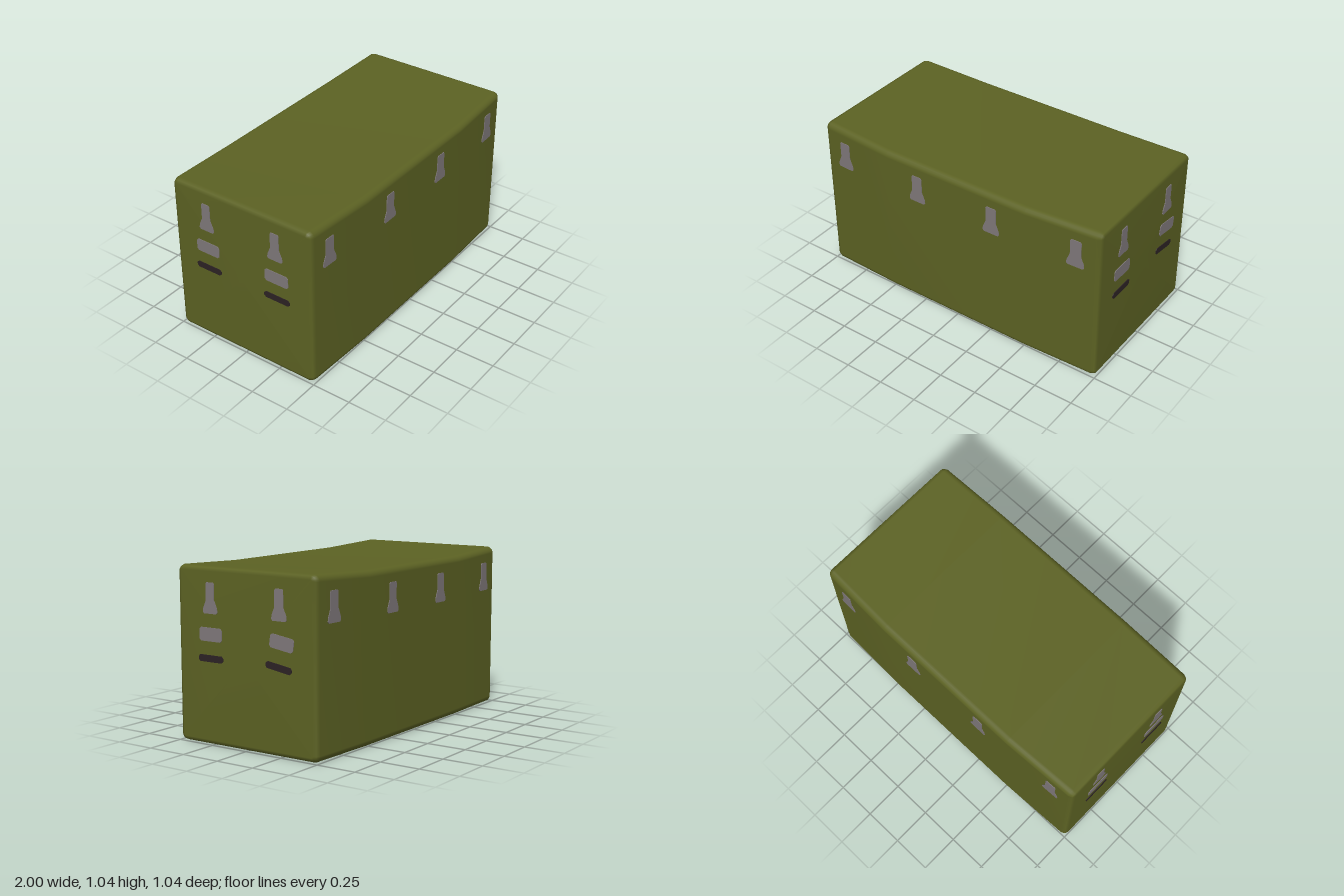
import * as THREE from 'three';

const olive = new THREE.MeshStandardMaterial({ color: 0x5c6223 });
olive.name = 'olive';
const grey = new THREE.MeshStandardMaterial({ color: 0x7f787a });
grey.name = 'grey metal';
const dark = new THREE.MeshStandardMaterial({ color: 0x2c2224 });
dark.name = 'dark slot';

// The middle half of the cover is straight; it tapers and rises towards the ends
const endness = x => Math.max(0, (Math.abs(x) - 0.5) / 0.5);
const halfDepth = x => 0.515 - 0.018 * endness(x);
const height = x => 1.022 + 0.021 * endness(x);

// Rounded-rectangle cross-sections joined along x, with rounded ends and flat caps
function bodyGeometry() {
  const half = [[0.997, 0.03], [0.988, 0.01], [0.965, 0], [0.5, 0]];
  const stations = [
    ...half.map(([x, inset]) => [-x, inset]),
    ...half.slice().reverse(),
  ];
  const steps = 5, n = 4 * (steps + 1);
  const pos = [], index = [];
  for (const [x, inset] of stations) {
    const r = 0.04 - inset;
    const w = halfDepth(x) - inset - r;
    const top = height(x) - inset - r, bottom = inset + r;
    const corners = [[w, top], [-w, top], [-w, bottom], [w, bottom]];
    corners.forEach(([z, y], c) => {
      for (let s = 0; s <= steps; s++) {
        const a = (c + s / steps) * Math.PI / 2;
        pos.push(x, y + r * Math.sin(a), z + r * Math.cos(a));
      }
    });
  }
  const last = (stations.length - 1) * n;
  const c0 = pos.length / 3, c1 = c0 + 1;
  pos.push(-0.997, 0.52, 0, 0.997, 0.52, 0);
  for (let j = 0; j < n; j++) {
    const k = (j + 1) % n;
    for (let i = 0; i < last; i += n) {
      index.push(i + j, i + n + j, i + k, i + k, i + n + j, i + n + k);
    }
    index.push(c0, j, k, c1, last + k, last + j);
  }
  const g = new THREE.BufferGeometry();
  g.setAttribute('position', new THREE.Float32BufferAttribute(pos, 3));
  g.setIndex(index);
  g.computeVertexNormals();
  return g;
}

// Thin plate cut from a flat outline
function plateGeometry(points) {
  const shape = new THREE.Shape(points.map(p => new THREE.Vector2(...p)));
  return new THREE.ExtrudeGeometry(shape, { depth: 0.005, bevelEnabled: false });
}

// Clasp outline: narrow neck flaring to a wider foot
function claspGeometry(neck, foot) {
  const side = [[foot - 0.008, -0.09], [foot, -0.08], [foot - 0.003, -0.058],
    [neck, -0.012], [neck, 0.08], [neck - 0.006, 0.09]];
  return plateGeometry([...side, ...side.slice().reverse().map(([x, y]) => [-x, y])]);
}

// Rectangle with clipped corners
function clippedGeometry(w, h, c) {
  return plateGeometry([[-w + c, -h], [w - c, -h], [w, -h + c], [w, h - c],
    [w - c, h], [-w + c, h], [-w, h - c], [-w, -h + c]]);
}

export function createModel() {
  const model = new THREE.Group();
  const add = (parent, name, geometry, material, x, y, z, turn = 0, tilt = 0) => {
    const mesh = new THREE.Mesh(geometry, material);
    mesh.name = name;
    mesh.position.set(x, y, z);
    mesh.rotation.set(0, turn, tilt);
    parent.add(mesh);
  };

  add(model, 'body', bodyGeometry(), olive, 0, 0, 0);

  const sideClasp = claspGeometry(0.036, 0.058);
  const endClasp = claspGeometry(0.03, 0.053);
  const pad = clippedGeometry(0.083, 0.04, 0.012);
  const slot = clippedGeometry(0.091, 0.02, 0.012);

  // Four clasps along the front and four along the back
  for (const facing of [0, Math.PI]) {
    const side = new THREE.Group();
    side.name = facing ? 'backClasps' : 'frontClasps';
    side.rotation.y = facing;
    for (const x of [-0.84, -0.27, 0.27, 0.84]) {
      const outer = Math.abs(x) > 0.5;
      const turn = outer ? Math.sign(x) * 0.036 : 0;
      add(side, 'clasp', sideClasp, grey, x, outer ? 0.856 : 0.845, halfDepth(x) - 0.001, turn);
    }
    model.add(side);
  }

  // Clasp, pad and slot in two columns on each end; one column hangs askew
  for (const sign of [1, -1]) {
    const end = new THREE.Group();
    end.name = sign > 0 ? 'leftEnd' : 'rightEnd';
    end.position.x = sign * 0.996;
    end.rotation.y = sign * Math.PI / 2;
    for (const u of [-0.25, 0.25]) {
      const askew = sign > 0 && u > 0;
      const tilt = askew ? -0.15 : 0;
      add(end, 'endClasp', endClasp, grey, u < 0 ? u : 0.245, 0.86, 0);
      add(end, 'pad', pad, grey, askew ? 0.262 : u, 0.65, 0, 0, tilt);
      add(end, 'slot', slot, dark, askew ? 0.24 : u, 0.51, 0, 0, tilt);
    }
    model.add(end);
  }
  return model;
}
